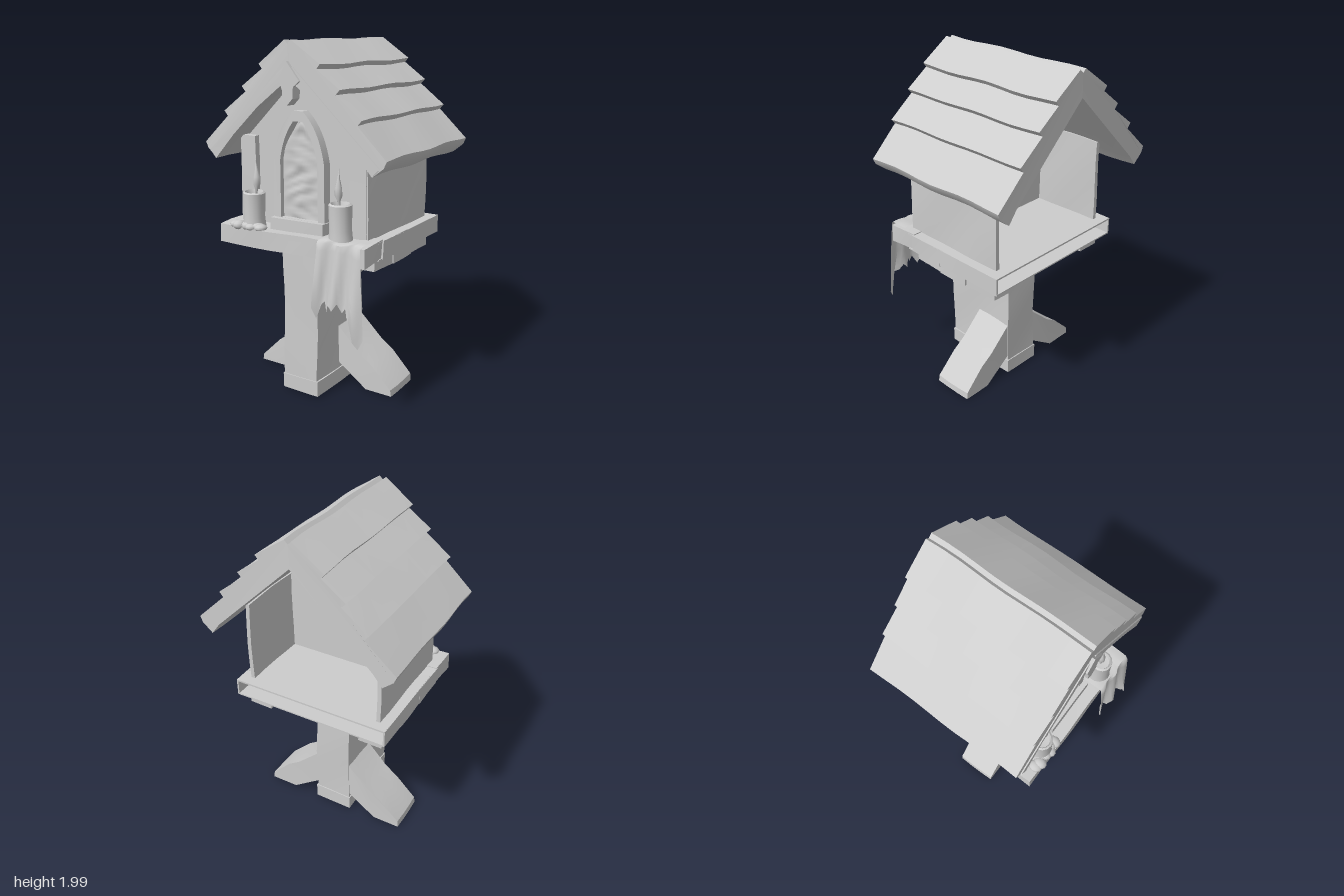
import * as THREE from 'three';
import { toCreasedNormals } from 'three/addons/utils/BufferGeometryUtils.js';

const stone = new THREE.MeshStandardMaterial({ color: 0xcccccc, side: THREE.DoubleSide });
stone.name = 'light grey';

// Smooth, repeatable unevenness that makes straight parts look hand cut
function weather(geo, amount) {
  const p = geo.attributes.position;
  for (let i = 0; i < p.count; i++) {
    const x = p.getX(i), y = p.getY(i), z = p.getZ(i);
    p.setXYZ(i,
      x + amount * Math.sin(11 * z + 9 * y + 3 * x),
      y + amount * Math.sin(13 * z + 7 * x + 1) * (y > 0.04 ? 1 : 0),
      z + amount * 0.5 * Math.sin(12 * x + 10 * y));
  }
  return geo;
}

function add(parent, name, geo, crease = 0.6) {
  const mesh = new THREE.Mesh(toCreasedNormals(geo, crease), stone);
  mesh.name = name;
  parent.add(mesh);
  return mesh;
}

// Box given by its limits
function block(parent, name, [x0, x1], [y0, y1], [z0, z1], wobble = 0.004) {
  const seg = (a, b) => Math.max(1, Math.round((b - a) / 0.12));
  const g = new THREE.BoxGeometry(x1 - x0, y1 - y0, z1 - z0, seg(x0, x1), seg(y0, y1), seg(z0, z1));
  g.translate((x0 + x1) / 2, (y0 + y1) / 2, (z0 + z1) / 2);
  return add(parent, name, weather(g, wobble));
}

// Outline in x and y, extruded from z0 to z1
function slab(parent, name, outline, z0, z1, wobble = 0.004, steps = 1) {
  const shape = Array.isArray(outline)
    ? new THREE.Shape(outline.map(([x, y]) => new THREE.Vector2(x, y))) : outline;
  const g = new THREE.ExtrudeGeometry(shape, { depth: z1 - z0, steps, bevelEnabled: false, curveSegments: 10 });
  g.translate(0, 0, z0);
  return add(parent, name, weather(g, wobble));
}

const mirror = (pts, s) => pts.map(([x, y]) => [x * s, y]);

// Pointed arch from the sill up
function arch(path, w, y0, shoulder, top) {
  path.moveTo(-w, y0);
  path.lineTo(w, y0);
  path.lineTo(w, shoulder);
  path.quadraticCurveTo(w * 0.82, top - 0.09, 0.03, top);
  path.lineTo(-0.03, top);
  path.quadraticCurveTo(-w * 0.82, top - 0.09, -w, shoulder);
  path.lineTo(-w, y0);
  return path;
}

function buildStand(root) {
  const stand = new THREE.Group();
  stand.name = 'stand';
  root.add(stand);
  block(stand, 'post', [-0.115, 0.11], [0.02, 0.88], [-0.145, 0.34], 0.005);
  block(stand, 'postFoot', [-0.122, 0.118], [0.01, 0.1], [-0.15, 0.345], 0.003);
  const leg = [[0.46, 0.005], [0.455, 0.045], [0.33, 0.17], [0.25, 0.225], [0.11, 0.36], [0.1, 0.14], [0.29, 0.005]];
  const brace = [[0.4, 0.87], [0.2, 0.87], [0.1, 0.78], [0.1, 0.61]];
  for (const s of [-1, 1]) {
    slab(stand, 'leg', mirror(leg, s), -0.14, 0.11, 0.004, 3);
    slab(stand, 'brace', mirror(brace, s), -0.13, 0.115, 0.003, 2);
    // Beam of short lengths under the floor
    [[-0.35, -0.14], [-0.135, 0.07], [0.075, 0.27]].forEach((z, i) => {
      const x = [0.29, 0.435 + 0.006 * (i % 2)];
      block(stand, 'floorBeam', s > 0 ? x : [-x[1], -x[0]], [0.795, 0.875], z, 0.003);
    });
  }
}

function buildPlatform(root) {
  const deck = new THREE.Group();
  deck.name = 'platform';
  root.add(deck);
  // Hollow floor, open at the back
  block(deck, 'floorTop', [-0.475, 0.475], [0.962, 0.972], [-0.41, 0.3], 0);
  block(deck, 'floorBottom', [-0.475, 0.475], [0.87, 0.878], [-0.41, 0.3], 0);
  for (const s of [-1, 1]) {
    block(deck, 'floorSide', [s * 0.472 - 0.005, s * 0.472 + 0.005], [0.87, 0.972], [-0.41, 0.04], 0.001);
    block(deck, 'sidePlank', [s * 0.44 - 0.04, s * 0.44 + 0.04], [0.868, 0.972], [0.03, 0.26], 0.004);
  }
  block(deck, 'frontPlank', [-0.475, 0.47], [0.87, 0.975], [0.25, 0.445], 0.006);
}

function buildHouse(root) {
  const house = new THREE.Group();
  house.name = 'house';
  root.add(house);
  const gable = [[-0.4, 0.96], [0.4, 0.96], [0.4, 1.45], [0, 1.84], [-0.4, 1.45]];
  slab(house, 'frontWall', gable, 0.27, 0.29, 0);
  slab(house, 'innerWall', gable, 0.07, 0.09, 0);
  for (const s of [-1, 1]) {
    block(house, 'sideWall', [s * 0.405 - 0.012, s * 0.405 + 0.012], [0.96, 1.46], [-0.35, 0.32], 0.004);
    block(house, 'cornerBoard', [s * 0.36 - 0.05, s * 0.36 + 0.05], [0.96, 1.47], [0.26, 0.325], 0.004);
  }

  // Arched door frame and sill
  const frame = arch(new THREE.Shape(), 0.165, 0.98, 1.36, 1.63);
  frame.holes.push(arch(new THREE.Path(), 0.122, 1.04, 1.36, 1.575));
  slab(house, 'doorFrame', frame, 0.27, 0.345, 0.002);
  block(house, 'doorSill', [-0.172, 0.172], [0.97, 1.04], [0.28, 0.375], 0.003);

  // Rumpled panel filling the arch
  const g = new THREE.PlaneGeometry(2, 1, 16, 28);
  const p = g.attributes.position;
  for (let i = 0; i < p.count; i++) {
    const u = p.getX(i), t = p.getY(i) + 0.5;
    const k = Math.max(0, (t - 0.58) / 0.42);
    const x = u * 0.126 * (1 - Math.pow(k, 1.7));
    const bump = Math.sin(32 * x + 5 * Math.sin(9 * t)) * Math.sin(24 * t + 14 * Math.abs(x));
    p.setXYZ(i, x, 1.03 + 0.55 * t, 0.316 + 0.01 * bump * (1 - u * u));
  }
  add(house, 'doorPanel', g, 1.5);
}

function buildRoof(root) {
  const roof = new THREE.Group();
  roof.name = 'roof';
  root.add(roof);
  // Four lapped planks per slope with a lip under the eaves
  const section = [[0, 1.975], [0.02, 1.995], [0.195, 1.875], [0.175, 1.85], [0.31, 1.755], [0.285, 1.728],
    [0.435, 1.615], [0.412, 1.588], [0.58, 1.43], [0.565, 1.395], [0.505, 1.345], [0.455, 1.41], [0, 1.85]];
  const rake = [[0.505, 1.345], [0.545, 1.39], [0.03, 1.86], [0, 1.86], [0, 1.765], [0.04, 1.77], [0.2, 1.65], [0.37, 1.49]];
  for (const s of [-1, 1]) {
    slab(roof, 'roofSlope', mirror(section, s), -0.53, 0.425, 0.004, 10);
    slab(roof, 'gableBoard', mirror(rake, s), 0.36, 0.432, 0.003);
  }
  slab(roof, 'gableOrnament', [[0, 1.665], [0.035, 1.7], [0.04, 1.76], [0.08, 1.79], [0, 1.89],
    [-0.05, 1.8], [-0.03, 1.74], [-0.03, 1.69]], 0.38, 0.444, 0.002);
}

function buildCandle(root, x, lean) {
  const candle = new THREE.Group();
  candle.name = 'candle';
  root.add(candle);
  // Wax body with a hollow top
  const profile = [[0, 0.96], [0.068, 0.96], [0.06, 1.03], [0.062, 1.165], [0.052, 1.172], [0.044, 1.15], [0, 1.145]];
  const wax = new THREE.LatheGeometry(profile.map(([r, y]) => new THREE.Vector2(r, y)), 14);
  wax.translate(x, 0, 0.375);
  add(candle, 'wax', weather(wax, 0.003), 0.8);
  // Slim bent flame
  const flame = new THREE.LatheGeometry([[0.006, 0], [0.009, 0.04], [0.021, 0.07], [0.019, 0.11], [0.007, 0.16], [0, 0.215]]
    .map(([r, y]) => new THREE.Vector2(r, y)), 10);
  const p = flame.attributes.position;
  for (let i = 0; i < p.count; i++) p.setX(i, p.getX(i) + lean * Math.sin(p.getY(i) * 14));
  flame.translate(x + lean, 1.145, 0.375);
  add(candle, 'flame', flame, 1.2);
}

function buildCloth(root) {
  // Ragged cloth lying on the deck and hanging over its front edge
  const hem = [0.62, 0.56, 0.64, 0.66, 0.61, 0.66, 0.63, 0.67, 0.62, 0.65, 0.61, 0.6, 0.49, 0.45, 0.5];
  const cols = hem.length - 1, rows = 12;
  const g = new THREE.PlaneGeometry(1, 1, cols, rows);
  const p = g.attributes.position;
  for (let i = 0; i < p.count; i++) {
    const c = i % (cols + 1), r = Math.floor(i / (cols + 1));
    const u = c / cols;
    if (r < 3) {
      p.setXYZ(i, 0.2 + 0.265 * u, 0.985 + 0.005 * Math.sin(9 * u), 0.34 + 0.055 * r);
    } else {
      const t = (r - 3) / (rows - 3);
      const fold = Math.sin(15 * u + 2 * t) * (0.008 + 0.014 * t);
      p.setXYZ(i, 0.195 + 0.265 * u + t * (0.045 * u - 0.01),
        THREE.MathUtils.lerp(0.975, hem[c], t), 0.46 + 0.025 * t + 0.025 * t * u + fold);
    }
  }
  add(root, 'cloth', g, 1.0);
}

export function createModel() {
  const root = new THREE.Group();
  root.name = 'shrineHouse';
  buildStand(root);
  buildPlatform(root);
  buildHouse(root);
  buildRoof(root);
  buildCandle(root, -0.285, 0.012);
  buildCandle(root, 0.285, -0.006);
  buildCloth(root);
  // Melted wax around the left candle
  for (let i = 0; i < 7; i++) {
    const drip = new THREE.SphereGeometry(1, 10, 6);
    drip.scale(0.035, 0.02 + 0.006 * (i % 2), 0.04);
    drip.translate(-0.385 + 0.029 * i, 0.978, 0.415 + 0.012 * Math.sin(i * 2.1));
    add(root, 'waxDrip', drip, 1.5);
  }
  return root;
}
